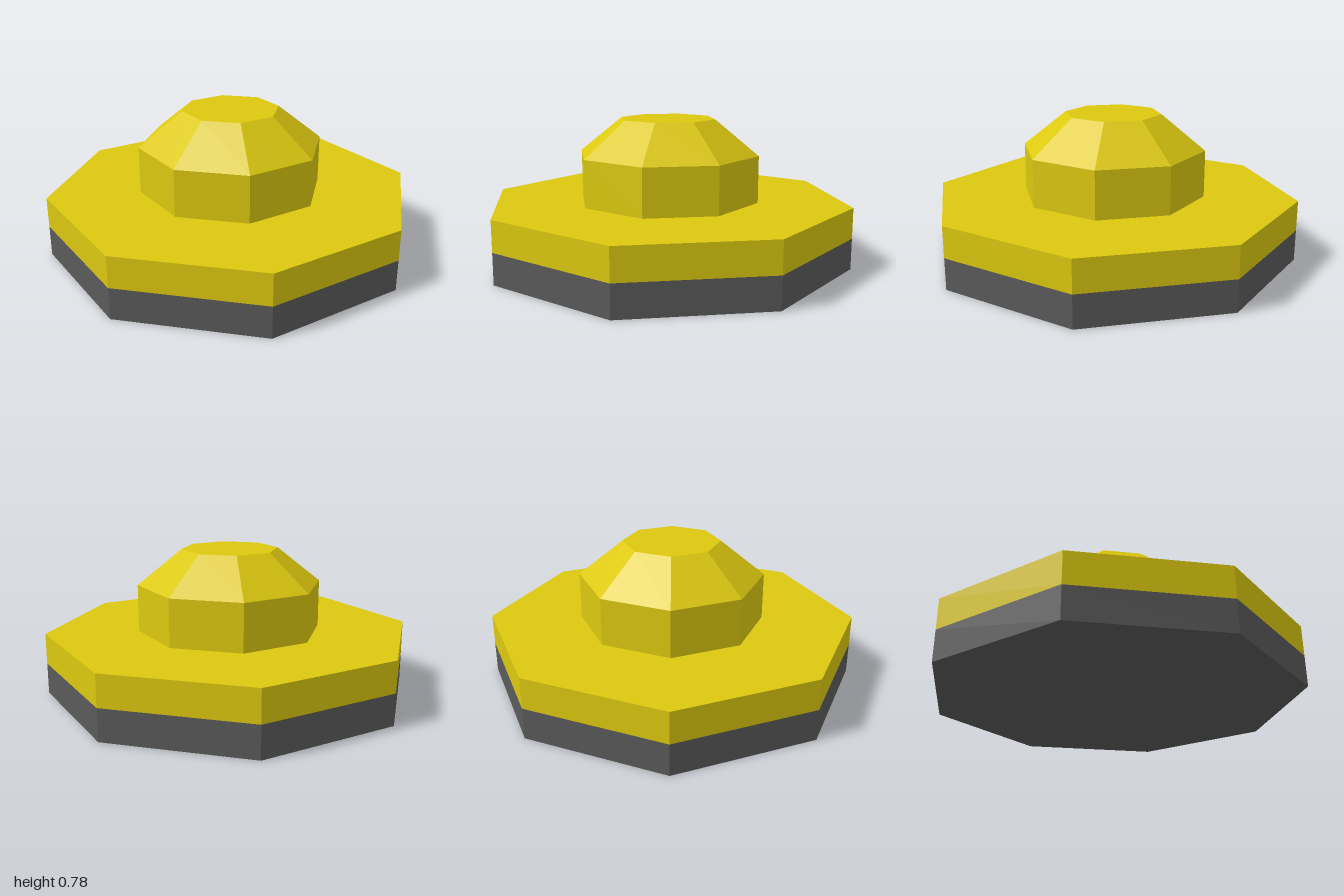
import * as THREE from 'three';

const SIDES = 8;

// Eight-sided solid of revolution from [radius, height] pairs, listed bottom to top
function octagonal(name, profile, material) {
  const points = profile.map(([r, y]) => new THREE.Vector2(r, y));
  const mesh = new THREE.Mesh(new THREE.LatheGeometry(points, SIDES), material);
  mesh.name = name;
  return mesh;
}

export function createModel() {
  const model = new THREE.Group();
  model.name = 'octagonalButton';

  const yellow = new THREE.MeshStandardMaterial({ color: 0xdcc80f, flatShading: true });
  const darkGrey = new THREE.MeshStandardMaterial({ color: 0x5a5a5a, flatShading: true });

  // Dark lower slab, closed underneath
  model.add(octagonal('basePlate', [[0, 0], [1, 0], [1, 0.167]], darkGrey));

  // Yellow upper slab, its top running in to the hub
  model.add(octagonal('upperPlate', [[1, 0.167], [1, 0.333], [0.5, 0.333]], yellow));

  // Raised hub with a sloped shoulder and a flat cap
  model.add(octagonal('hub', [[0.5, 0.333], [0.5, 0.587], [0.262, 0.777], [0, 0.777]], yellow));

  return model;
}
